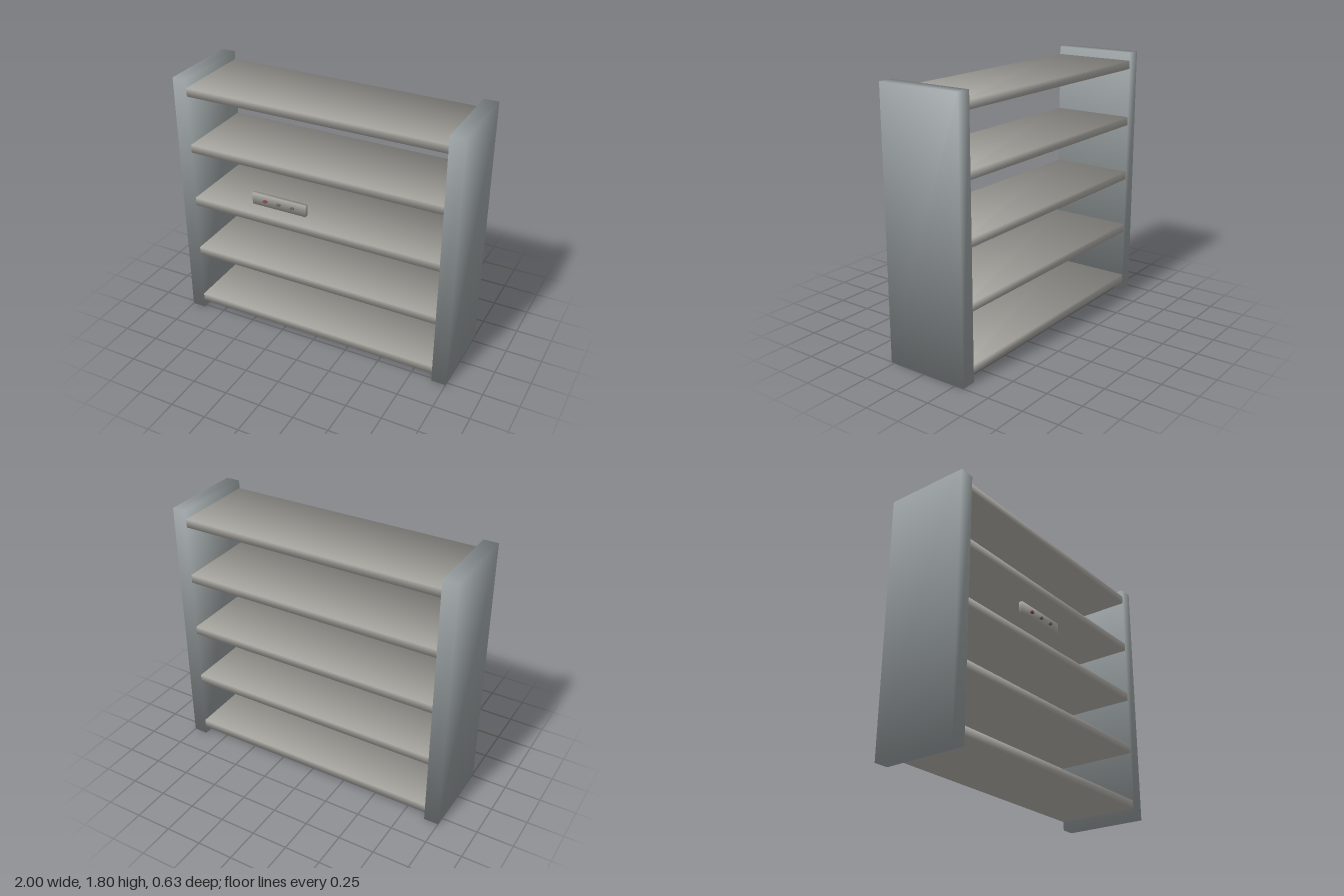
import * as THREE from 'three';
import { mergeVertices } from 'three/addons/utils/BufferGeometryUtils.js';

const paint = (color) => new THREE.MeshStandardMaterial({ color });

// Box with eight shared corners; each normal points evenly out of its corner
function softBox(w, h, d) {
  const box = new THREE.BoxGeometry(w, h, d);
  box.deleteAttribute('normal');
  box.deleteAttribute('uv');
  const geometry = mergeVertices(box);
  const normals = geometry.attributes.position.clone();
  for (let i = 0; i < normals.count; i++) {
    normals.setXYZ(i, Math.sign(normals.getX(i)), Math.sign(normals.getY(i)), Math.sign(normals.getZ(i)));
  }
  geometry.setAttribute('normal', normals);
  geometry.normalizeNormals();
  return geometry;
}

function addPart(parent, name, geometry, material, x, y, z) {
  const mesh = new THREE.Mesh(geometry, material);
  mesh.name = name;
  mesh.position.set(x, y, z);
  parent.add(mesh);
}

export function createModel() {
  const group = new THREE.Group();
  group.name = 'shelfRack';
  const panelPaint = paint(0x9aa1a3);
  const shelfPaint = paint(0xaba9a3);
  const midZ = -0.02, depth = 0.59;

  // Upright side panels
  const panel = softBox(0.1, 1.8, depth);
  addPart(group, 'leftSidePanel', panel, panelPaint, 0.95, 0.9, midZ);
  addPart(group, 'rightSidePanel', panel, panelPaint, -0.95, 0.9, midZ);

  // Five evenly spaced shelves, let into the side panels
  const shelf = softBox(1.99, 0.058, depth - 0.002);
  for (let i = 0; i < 5; i++) {
    addPart(group, `shelf${i + 1}`, shelf, shelfPaint, 0, 0.091 + i * 0.406, midZ);
  }

  // Control plate with three oval buttons
  const control = new THREE.Group();
  control.name = 'controlPanel';
  control.position.set(-0.218, 1.07, 0.29);
  group.add(control);
  addPart(control, 'controlPlate', softBox(0.396, 0.082, 0.026), shelfPaint, 0, 0, 0);
  const button = new THREE.CylinderGeometry(0.015, 0.015, 0.013, 20);
  button.rotateX(Math.PI / 2).scale(1, 0.65, 1);
  [0x96484a, 0x667066, 0x667066].forEach((color, i) => {
    addPart(control, `button${i + 1}`, button, paint(color), (i - 1) * 0.1, 0, 0.0185);
  });

  return group;
}
